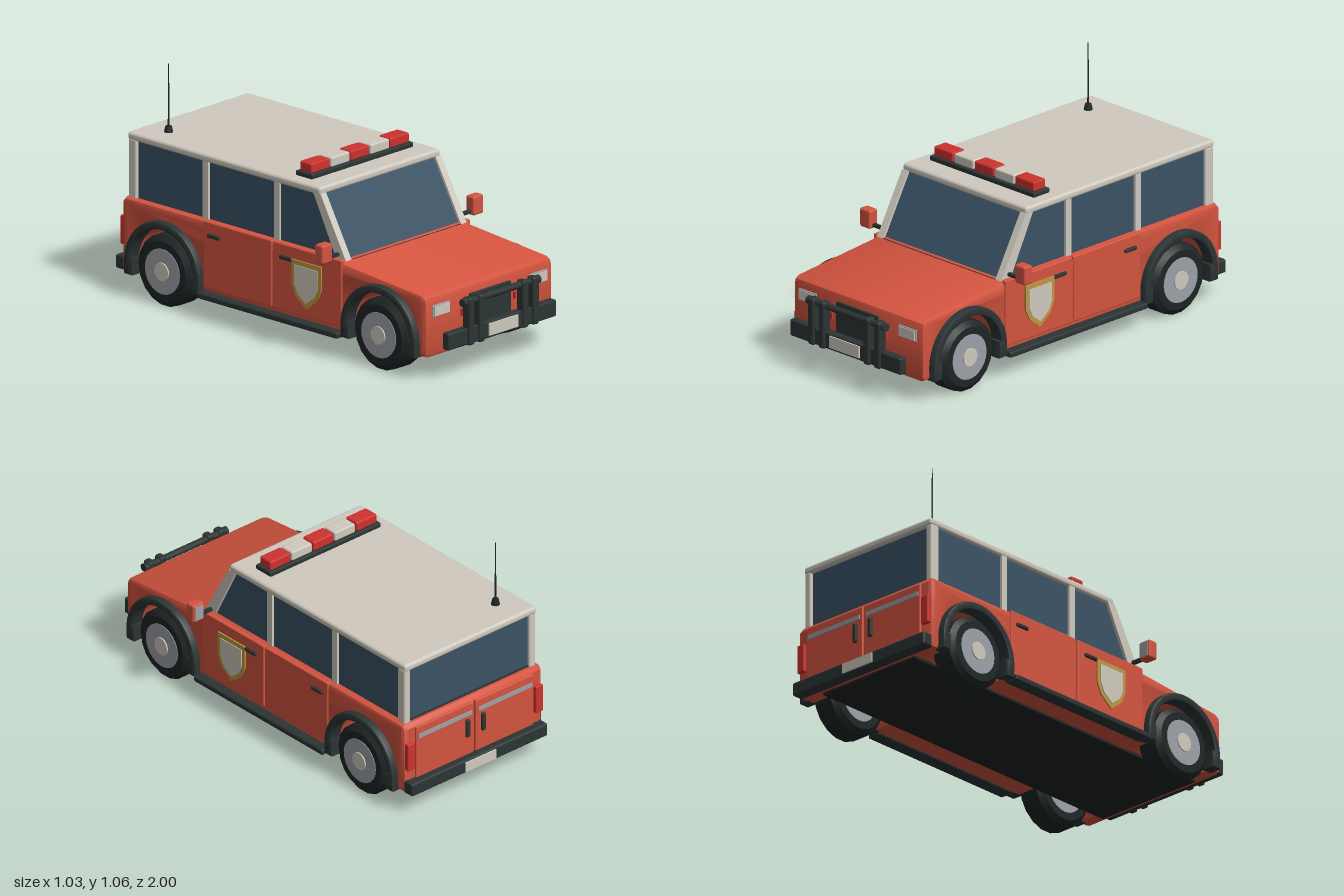
import * as THREE from 'three';
import { toCreasedNormals } from 'three/addons/utils/BufferGeometryUtils.js';
import { RoundedBoxGeometry } from 'three/addons/geometries/RoundedBoxGeometry.js';

const paint = (name, color) => {
  const m = new THREE.MeshStandardMaterial({ color });
  m.name = name;
  return m;
};

export function createModel() {
  const red = paint('body red', 0xd4543f);
  const cream = paint('cream', 0xd0cabf);
  const trim = paint('dark trim', 0x2c3434);
  const rubber = paint('tyre black', 0x1e2525);
  const glass = paint('window glass', 0x3a5265);
  const lamp = paint('lamp red', 0xce322d);
  const metal = paint('metal grey', 0x9da1a8);
  const gold = paint('gold', 0xbc9840);

  const car = new THREE.Group();
  car.name = 'rescueVehicle';

  const add = (name, geometry, material, x = 0, y = 0, z = 0) => {
    const mesh = new THREE.Mesh(geometry, material);
    mesh.name = name;
    mesh.position.set(x, y, z);
    car.add(mesh);
    return mesh;
  };
  // Box given by its limits on each axis, with optional rounded edges
  const box = (name, material, [x0, x1], [y0, y1], [z0, z1], r = 0) => {
    const size = [x1 - x0, y1 - y0, z1 - z0];
    const g = r ? new RoundedBoxGeometry(...size, 2, r) : new THREE.BoxGeometry(...size);
    return add(name, g, material, (x0 + x1) / 2, (y0 + y1) / 2, (z0 + z1) / 2);
  };
  // The same box on both sides of the car
  const pair = (name, material, [x0, x1], ys, zs, r) => {
    box(name + 'Left', material, [x0, x1], ys, zs, r);
    box(name + 'Right', material, [-x1, -x0], ys, zs, r);
  };
  // Side profile in (z, y), extruded across x around the middle of a given width
  const profile = (name, material, shape, width, x = 0, bevel = 0) => {
    const g = new THREE.ExtrudeGeometry(shape, {
      depth: width - 2 * bevel, bevelEnabled: bevel > 0, bevelSize: bevel,
      bevelThickness: bevel, bevelOffset: -bevel, bevelSegments: 2, curveSegments: 14,
    });
    g.translate(0, 0, bevel - width / 2).rotateY(-Math.PI / 2);
    return add(name, toCreasedNormals(g, 0.6), material, x);
  };
  const polygon = (points) => new THREE.Shape(points.map(([a, b]) => new THREE.Vector2(a, b)));

  const axles = { front: 0.64, rear: -0.675 };
  const axleY = 0.167;

  // Lower body with open wheel arches
  const body = new THREE.Shape();
  body.moveTo(-0.945, 0.11);
  for (const z of [axles.rear, axles.front]) {
    body.lineTo(z - 0.195, 0.11);
    body.lineTo(z - 0.195, axleY);
    body.absarc(z, axleY, 0.195, Math.PI, 0, true);
    body.lineTo(z + 0.195, 0.11);
  }
  for (const p of [[0.895, 0.11], [0.905, 0.13], [0.905, 0.36], [0.898, 0.383], [0.875, 0.397],
    [0.41, 0.438], [0.39, 0.45], [-0.93, 0.45], [-0.945, 0.43]]) body.lineTo(...p);
  profile('body', red, body, 0.812, 0, 0.02);
  box('floor', rubber, [-0.28, 0.28], [0.1, 0.113], [-0.92, 0.87]);

  // Cabin: glass core, cream pillars and roof
  profile('cabinGlass', glass, polygon([[0.39, 0.44], [0.23, 0.725], [-0.91, 0.725], [-0.91, 0.44]]), 0.744);
  const aPillar = polygon([[0.405, 0.435], [0.245, 0.722], [0.2, 0.722], [0.345, 0.435]]);
  for (const s of [-1, 1]) profile('windshieldPillar', cream, aPillar, 0.036, s * 0.368);
  pair('middlePillar', cream, [0.35, 0.384], [0.44, 0.722], [-0.04, -0.007]);
  pair('rearDoorPillar', cream, [0.35, 0.384], [0.44, 0.722], [-0.473, -0.44]);
  pair('cornerPillar', cream, [0.35, 0.386], [0.44, 0.722], [-0.925, -0.875], 0.01);
  box('roof', cream, [-0.387, 0.387], [0.713, 0.75], [-0.93, 0.243], 0.014);
  box('windshieldSeal', trim, [-0.35, 0.35], [0.436, 0.446], [0.375, 0.4]);
  box('rearWindowSeal', trim, [-0.35, 0.35], [0.444, 0.456], [-0.918, -0.9]);

  // Side doors, handles and running boards
  pair('frontDoor', red, [0.39, 0.413], [0.143, 0.452], [-0.018, 0.398], 0.006);
  pair('rearDoor', red, [0.39, 0.413], [0.143, 0.452], [-0.442, -0.027], 0.006);
  pair('frontDoorHandle', trim, [0.408, 0.424], [0.382, 0.4], [0.025, 0.1], 0.006);
  pair('rearDoorHandle', trim, [0.408, 0.424], [0.382, 0.4], [-0.412, -0.34], 0.006);
  pair('runningBoard', trim, [0.385, 0.452], [0.1, 0.128], [-0.45, 0.405], 0.008);

  // Door shields: gold border with a cream field
  const shield = (k) => polygon([[-0.09, 0.1], [0.09, 0.1], [0.09, -0.01], [0.065, -0.065], [0, -0.115],
    [-0.065, -0.065], [-0.09, -0.01]].map(([z, y]) => [0.19 + z * k, 0.298 + y * k]));
  for (const s of [-1, 1]) {
    profile('shieldBorder', gold, shield(1), 0.008, s * 0.416);
    profile('shieldField', cream, shield(0.78), 0.008, s * 0.4195);
  }

  // Wheels and fender flares
  const tyre = toCreasedNormals(new THREE.LatheGeometry(
    [[0, -0.067], [0.14, -0.067], [0.165, -0.047], [0.165, 0.047], [0.14, 0.067], [0, 0.067]]
      .map((p) => new THREE.Vector2(...p)), 18).rotateZ(Math.PI / 2), 0.5);
  const disc = (r, w) => new THREE.CylinderGeometry(r, r, w, 24).rotateZ(Math.PI / 2);
  const rim = disc(0.105, 0.14), hub = disc(0.042, 0.152);
  for (const [end, z] of Object.entries(axles)) {
    const flare = new THREE.Shape();
    flare.moveTo(z - 0.226, 0.11);
    flare.lineTo(z - 0.228, axleY);
    flare.absarc(z, axleY, 0.228, Math.PI, 0, true);
    flare.lineTo(z + 0.226, 0.11);
    flare.lineTo(z + 0.178, 0.11);
    flare.lineTo(z + 0.178, 0.19);
    flare.absarc(z, axleY, 0.193, 0.12, Math.PI - 0.12, false);
    flare.lineTo(z - 0.178, 0.19);
    flare.lineTo(z - 0.178, 0.11);
    for (const s of [-1, 1]) {
      add(end + 'Tyre', tyre, rubber, s * 0.361, axleY, z);
      add(end + 'Rim', rim, metal, s * 0.361, axleY, z);
      add(end + 'Hub', hub, cream, s * 0.361, axleY, z);
      profile(end + 'FenderFlare', trim, flare, 0.07, s * 0.405, 0.008);
    }
  }

  // Front face: grille, headlights and indicators
  box('grille', trim, [-0.13, 0.13], [0.2, 0.35], [0.895, 0.914], 0.004);
  pair('headlightFrame', metal, [0.256, 0.367], [0.292, 0.348], [0.895, 0.911], 0.004);
  pair('headlight', cream, [0.263, 0.36], [0.298, 0.342], [0.905, 0.915]);
  pair('indicator', lamp, [0.152, 0.184], [0.26, 0.291], [0.9, 0.915]);

  // Front bumper and bull bar
  box('frontBumper', trim, [-0.345, 0.345], [0.15, 0.228], [0.945, 0.986], 0.008);
  box('frontPlate', cream, [-0.092, 0.092], [0.163, 0.219], [0.984, 0.993]);
  pair('bumperStem', trim, [0.15, 0.19], [0.148, 0.2], [0.89, 0.955]);
  pair('outerUpright', trim, [0.187, 0.224], [0.147, 0.367], [0.952, 0.998], 0.01);
  pair('innerUpright', trim, [0.122, 0.157], [0.147, 0.367], [0.952, 0.998], 0.01);
  const bar = (r, w) => new THREE.CylinderGeometry(r, r, w, 10).rotateZ(Math.PI / 2);
  add('topBar', bar(0.016, 0.47), trim, 0, 0.345, 0.972);
  for (const s of [-1, 1]) add('topBarCap', bar(0.019, 0.024), trim, s * 0.232, 0.345, 0.972);

  // Tailgate, lamps and rear bumper
  pair('tailgateDoor', red, [0.005, 0.345], [0.17, 0.43], [-0.956, -0.935], 0.006);
  pair('tailgateStrip', metal, [0.02, 0.335], [0.372, 0.392], [-0.961, -0.953]);
  pair('tailgateHandle', trim, [0.035, 0.056], [0.265, 0.355], [-0.968, -0.95], 0.006);
  pair('tailLight', lamp, [0.355, 0.398], [0.225, 0.36], [-0.962, -0.93], 0.006);
  box('rearBumper', trim, [-0.4, 0.4], [0.108, 0.172], [-0.99, -0.93], 0.01);
  box('rearPlate', cream, [-0.09, 0.09], [0.117, 0.163], [-0.997, -0.988]);

  // Wing mirrors
  pair('mirrorArm', trim, [0.39, 0.46], [0.462, 0.477], [0.348, 0.364]);
  pair('mirrorShell', red, [0.451, 0.516], [0.453, 0.541], [0.332, 0.382], 0.01);
  pair('mirrorGlass', metal, [0.46, 0.507], [0.463, 0.531], [0.328, 0.335]);

  // Roof light bar
  box('lightBarBase', trim, [-0.325, 0.325], [0.748, 0.772], [0.035, 0.135], 0.006);
  for (let i = -2; i <= 2; i++) {
    const x = i * 0.1265;
    box('beacon', i % 2 ? cream : lamp, [x - 0.06, x + 0.06], [0.77, 0.816], [0.048, 0.122], 0.008);
  }

  // Antenna
  add('antennaBase', new THREE.CylinderGeometry(0.014, 0.021, 0.03, 10), rubber, -0.265, 0.763, -0.793);
  add('antennaRod', new THREE.CylinderGeometry(0.002, 0.0045, 0.3, 6), rubber, -0.265, 0.916, -0.793);

  return car;
}
